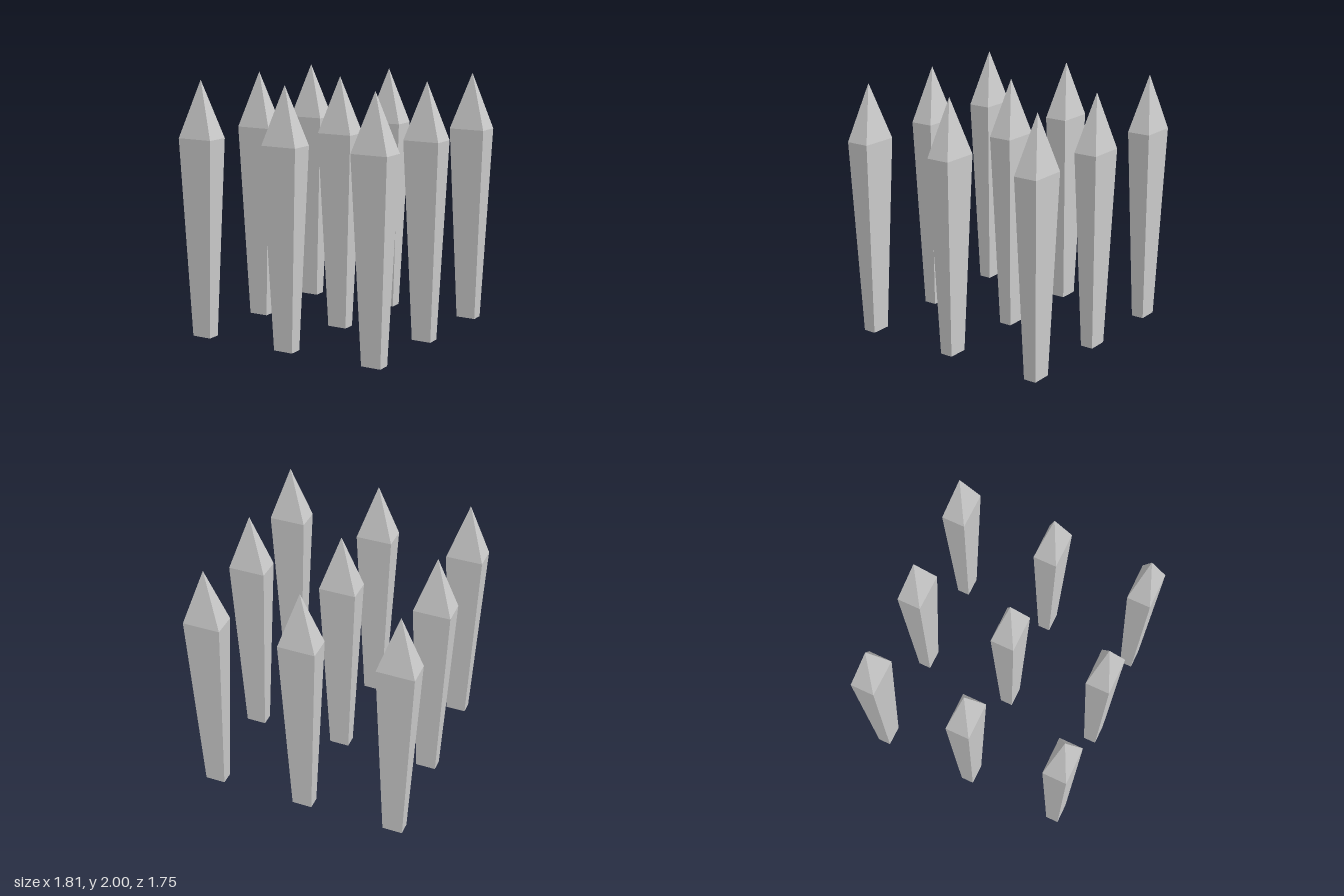
import * as THREE from 'three';
import { ConvexGeometry } from 'three/addons/geometries/ConvexGeometry.js';

// Four corners of a rectangular cross-section at height y
function ring(halfX, halfZ, y) {
  return [[1, 1], [1, -1], [-1, -1], [-1, 1]].map(
    ([sx, sz]) => new THREE.Vector3(sx * halfX, y, sz * halfZ)
  );
}

export function createModel() {
  const model = new THREE.Group();
  model.name = 'spikeField';

  const material = new THREE.MeshStandardMaterial({ color: 0xcccccc, flatShading: true });

  // Spike: narrow foot, widening shaft, pyramid point
  const spikeGeometry = new ConvexGeometry([
    ...ring(0.08, 0.051, 0),
    ...ring(0.147, 0.094, 1.556),
    new THREE.Vector3(0, 2, 0),
  ]);

  // Three by three grid of spikes
  const columns = { Right: -0.757, Centre: 0, Left: 0.757 };
  const rows = { back: -0.78, middle: 0, front: 0.78 };
  for (const [row, z] of Object.entries(rows)) {
    for (const [column, x] of Object.entries(columns)) {
      const spike = new THREE.Mesh(spikeGeometry, material);
      spike.name = `${row}${column}Spike`;
      spike.position.set(x, 0, z);
      model.add(spike);
    }
  }

  return model;
}
